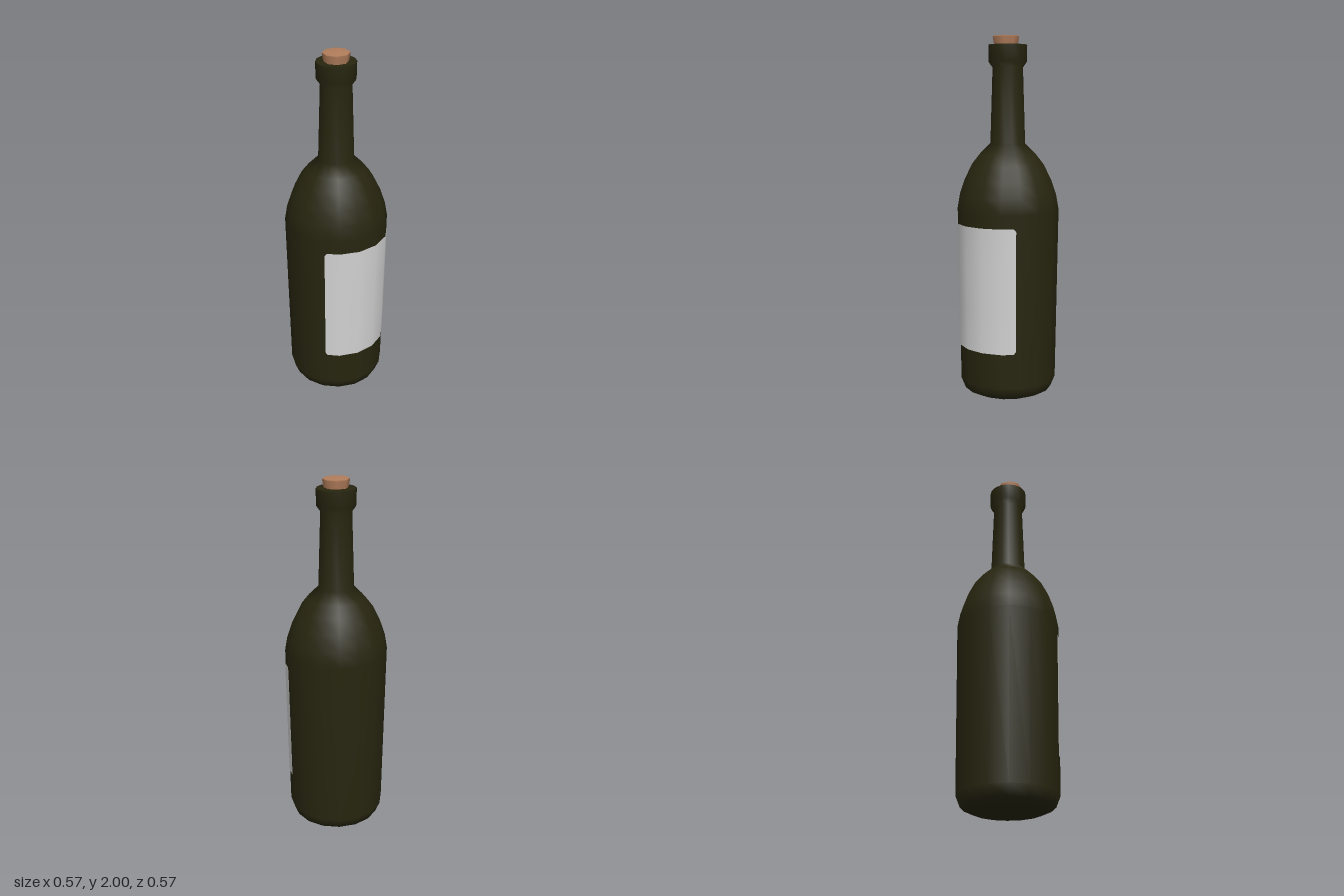
import * as THREE from 'three';

const SIDES = 16;
const WALL = { y0: 0.09, r0: 0.271, y1: 1.05, r1: 0.285 };

function lathe(points, sides, material, name) {
  const profile = points.map(([r, y]) => new THREE.Vector2(r, y));
  const mesh = new THREE.Mesh(new THREE.LatheGeometry(profile, sides), material);
  mesh.name = name;
  return mesh;
}

// Distance from the axis to the faceted wall at an angle and height
function wallRadius(angle, y) {
  const r = THREE.MathUtils.mapLinear(y, WALL.y0, WALL.y1, WALL.r0, WALL.r1);
  const step = (Math.PI * 2) / SIDES;
  const within = THREE.MathUtils.euclideanModulo(angle, step) - step / 2;
  return (r * Math.cos(step / 2)) / Math.cos(within);
}

// Thin sheet wrapped round the front of the wall, with clipped corners
function createLabel(material) {
  const columns = [-61.5, -59, -45, -22.5, 0, 22.5, 45, 59, 61.5];
  const bottom = 0.285, top = 0.975, clip = 0.015;
  const geometry = new THREE.PlaneGeometry(1, 1, columns.length - 1, 3);
  const p = geometry.attributes.position;
  for (let i = 0; i < p.count; i++) {
    const column = i % columns.length;
    const angle = THREE.MathUtils.degToRad(columns[column]);
    const inset = column === 0 || column === columns.length - 1 ? clip : 0;
    const y = THREE.MathUtils.lerp(bottom + inset, top - inset, p.getY(i) + 0.5);
    const r = wallRadius(angle, y) + 0.003;
    p.setXYZ(i, r * Math.sin(angle), y, r * Math.cos(angle));
  }
  geometry.computeVertexNormals();
  const mesh = new THREE.Mesh(geometry, material);
  mesh.name = 'label';
  return mesh;
}

export function createModel() {
  const glass = new THREE.MeshStandardMaterial({ name: 'dark green glass', color: 0x27250f });
  const paper = new THREE.MeshStandardMaterial({ name: 'label paper', color: 0xd2d2d2, side: THREE.DoubleSide });
  const corkBrown = new THREE.MeshStandardMaterial({ name: 'cork brown', color: 0xb17d5b });
  const group = new THREE.Group();
  group.name = 'bottle';

  // Base, wall, shoulder, neck and lip in one smooth profile
  group.add(lathe([
    [0, 0.004], [0.19, 0.004], [0.247, 0.03], [WALL.r0, WALL.y0],
    [WALL.r1, WALL.y1], [0.271, 1.13], [0.242, 1.215], [0.2, 1.3], [0.157, 1.355],
    [0.097, 1.415], [0.084, 1.828], [0.105, 1.857], [0.107, 1.947],
    [0.105, 1.95], [0, 1.95],
  ], SIDES, glass, 'bottleBody'));

  group.add(createLabel(paper));

  // Slightly off-centre tapered stopper
  const cork = lathe([[0.061, 1.93], [0.073, 1.992], [0.07, 1.998], [0, 2]], 8, corkBrown, 'cork');
  cork.position.set(-0.007, 0, 0.007);
  group.add(cork);

  return group;
}
